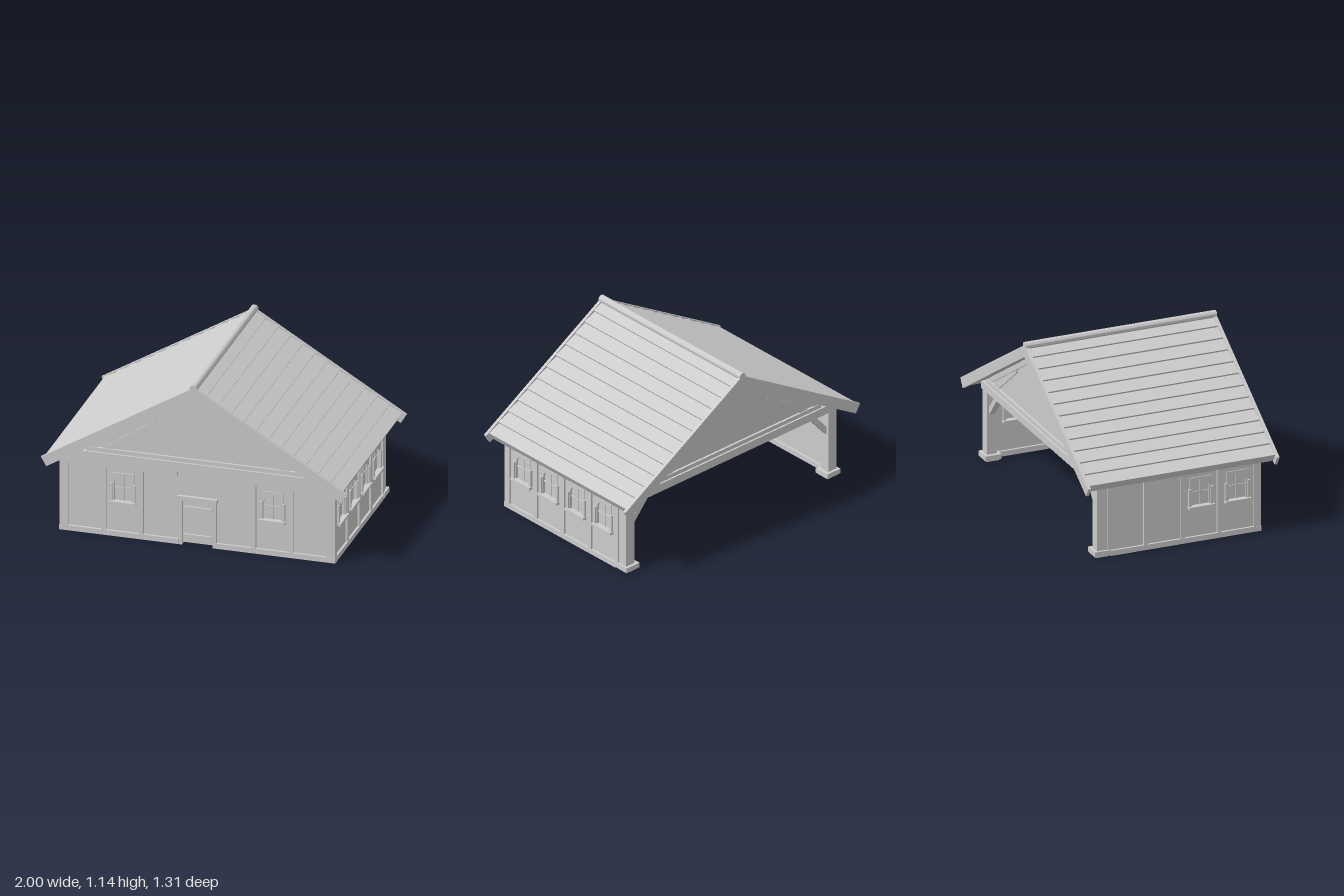
import * as THREE from 'three';

const grey = new THREE.MeshStandardMaterial({ color: 0xcccccc });
grey.name = 'plain grey';

function add(parent, name, geometry) {
  const mesh = new THREE.Mesh(geometry, grey);
  mesh.name = name;
  parent.add(mesh);
  return mesh;
}

// Box given by its lower and upper limits
function box(parent, name, x0, x1, y0, y1, z0, z1) {
  const m = add(parent, name, new THREE.BoxGeometry(Math.abs(x1 - x0), y1 - y0, z1 - z0));
  m.position.set((x0 + x1) / 2, (y0 + y1) / 2, (z0 + z1) / 2);
  return m;
}

const polygon = (pts) => new THREE.Shape(pts.map(([x, y]) => new THREE.Vector2(x, y)));

function slab(parent, name, shape, z0, z1) {
  const g = new THREE.ExtrudeGeometry(shape, { depth: z1 - z0, bevelEnabled: false, curveSegments: 12 });
  g.translate(0, 0, z0);
  return add(parent, name, g);
}

// Straight timber between two points in the xy plane
function timber(parent, name, [ax, ay], [bx, by], width, z0, z1) {
  const m = add(parent, name, new THREE.BoxGeometry(Math.hypot(bx - ax, by - ay), width, z1 - z0));
  m.position.set((ax + bx) / 2, (ay + by) / 2, (z0 + z1) / 2);
  m.rotation.z = Math.atan2(by - ay, bx - ax);
}

// Round-headed opening centred on u
function archHole(u) {
  const p = new THREE.Path();
  p.moveTo(u - 0.058, 0.242);
  p.lineTo(u + 0.058, 0.242);
  p.lineTo(u + 0.058, 0.357);
  p.absarc(u, 0.357, 0.058, 0, Math.PI, false);
  p.closePath();
  return p;
}

// Window with frame, bars, and trim on both wall faces; wall occupies z -0.02..0
function addWindow(parent, u) {
  const w = new THREE.Group();
  w.name = 'window';
  w.position.x = u;
  parent.add(w);
  const frame = polygon([[-0.073, 0.235], [0.073, 0.235], [0.073, 0.432], [-0.073, 0.432]]);
  frame.holes.push(archHole(0));
  slab(w, 'windowFrame', frame, -0.026, 0.006);
  box(w, 'windowPane', -0.06, 0.06, 0.24, 0.416, -0.012, -0.008);
  box(w, 'verticalBar', -0.005, 0.005, 0.242, 0.414, -0.018, -0.002);
  box(w, 'crossBar', -0.058, 0.058, 0.325, 0.335, -0.018, -0.002);
  for (const [z0, z1, s0, s1] of [[0, 0.016, 0, 0.03], [-0.036, -0.02, -0.05, -0.02]]) {
    for (const s of [-1, 1]) box(w, 'windowJamb', s * 0.066, s * 0.084, 0.24, 0.36, z0, z1);
    box(w, 'windowSill', -0.088, 0.088, 0.225, 0.242, s0, s1);
  }
}

function addFront(model) {
  const front = new THREE.Group();
  front.name = 'frontWall';
  front.position.z = 0.555;
  model.add(front);
  const shape = polygon([[-0.89, 0], [-0.1, 0], [-0.1, 0.31], [0.1, 0.31], [0.1, 0],
    [0.89, 0], [0.89, 0.51], [0, 1.045], [-0.89, 0.51]]);
  for (const s of [-1, 1]) shape.holes.push(archHole(s * 0.49));
  slab(front, 'frontPanel', shape, -0.02, 0);
  for (const s of [-1, 1]) {
    addWindow(front, s * 0.49);
    box(front, 'frontGroundBeam', s * 0.125, s * 0.905, 0, 0.035, -0.035, 0.017);
    box(front, 'frontHeadBeam', s * 0.13, s * 0.89, 0.47, 0.5, 0, 0.022);
    for (const [a, b] of [[0.845, 0.903], [0.6, 0.63], [0.355, 0.383]])
      box(front, 'frontPost', s * a, s * b, 0.035, 0.53, -0.005, 0.015);
    box(front, 'doorPost', s * 0.1, s * 0.124, 0, 0.305, -0.025, 0.017);
  }
  // Door of upright boards held by two rails
  box(front, 'doorLintel', -0.13, 0.13, 0.305, 0.333, -0.025, 0.024);
  for (let i = 0; i < 3; i++)
    box(front, 'doorBoard', -0.1 + i * 0.067, -0.034 + i * 0.067, 0.01, 0.305, -0.018, -0.006);
  box(front, 'doorBacking', -0.1, 0.1, 0.01, 0.305, -0.02, -0.012);
  for (const y of [0.06, 0.25]) box(front, 'doorRail', -0.095, 0.095, y - 0.01, y + 0.01, -0.006, 0.006);
}

// Side walls: four windows on the left, two towards the front on the right
function addSide(model, s) {
  const side = new THREE.Group();
  side.name = s > 0 ? 'leftWall' : 'rightWall';
  side.position.x = s * 0.89;
  side.rotation.y = s * Math.PI / 2;
  model.add(side);
  const u = (z) => -s * z;
  const windows = s > 0 ? [0.41, 0.16, -0.09, -0.34] : [0.41, 0.16];
  const shape = polygon([[u(0.55), 0], [u(-0.5), 0], [u(-0.5), 0.52], [u(0.55), 0.52]]);
  for (const z of windows) shape.holes.push(archHole(u(z)));
  slab(side, 'sidePanel', shape, -0.02, 0);
  for (const z of windows) addWindow(side, u(z));
  box(side, 'sideGroundBeam', u(0.57), u(-0.46), 0, 0.035, -0.035, 0.015);
  box(side, 'sideHeadBeam', u(0.56), u(-0.48), 0.47, 0.5, -0.01, 0.012);
  for (const [a, b] of [[0.57, 0.523], [0.3, 0.27], [0.05, 0.02], [-0.203, -0.232], [-0.453, -0.482]])
    box(side, 'sidePost', u(a), u(b), 0.035, 0.48, -0.005, 0.013);
  // Rear pillar on its footing, with a knee brace
  box(model, 'rearPillar', s * 0.825, s * 0.895, 0.04, 0.53, -0.55, -0.48);
  box(model, 'pillarFooting', s * 0.8, s * 0.91, 0.01, 0.043, -0.57, -0.46);
  box(model, 'footingBase', s * 0.81, s * 0.9, 0, 0.012, -0.56, -0.47);
  timber(model, 'kneeBrace', [s * 0.84, 0.32], [s * 0.67, 0.52], 0.035, -0.535, -0.495);
}

// Gable: panel, tie beams, rafters and diagonal braces
function addGable(model, dir) {
  const gable = new THREE.Group();
  gable.name = dir > 0 ? 'frontGable' : 'rearGable';
  gable.rotation.y = dir > 0 ? 0 : Math.PI;
  model.add(gable);
  slab(gable, 'gablePanel', polygon([[-0.85, 0.53], [0.85, 0.53], [0, 1.045]]), 0.555, 0.585);
  box(gable, 'lowerTieBeam', -0.84, 0.84, 0.5, 0.53, dir > 0 ? 0.54 : 0.48, 0.585);
  box(gable, 'middleTieBeam', -0.77, 0.77, 0.555, 0.578, 0.58, 0.612);
  box(gable, 'upperTieBeam', -0.72, 0.72, 0.578, 0.605, 0.58, 0.6);
  for (const s of [-1, 1]) {
    slab(gable, 'gableRafter', polygon([[0, 1.04], [0, 1.0], [s * 0.66, 0.604], [s * 0.72, 0.604]]), 0.58, 0.595);
    slab(gable, 'gableBrace', polygon([[s * 0.55, 0.6], [s * 0.27, 0.815], [s * 0.26, 0.845], [s * 0.62, 0.6]]), 0.58, 0.593);
    slab(gable, 'bargeBoard', polygon([[0, 1.12], [s, 0.52], [s * 0.964, 0.46], [0, 1.038]]), 0.635, 0.655);
  }
}

// Roof slope with twelve overlapping courses of boards
function addRoof(model, s) {
  const n = 12, run = 0.975, lip = 0.011;
  const pts = [[0, 1.05]];
  for (let i = 0; i < n; i++) {
    const a = run * i / n, b = run * (i + 1) / n;
    pts.push([s * (a - (i ? lip * 0.5 : 0)), 1.116 - 0.6 * a - lip], [s * b, 1.116 - 0.6 * b]);
  }
  pts.push([s * 0.945, 0.48]);
  slab(model, s > 0 ? 'leftRoof' : 'rightRoof', polygon(pts), -0.636, 0.636);
}

export function createModel() {
  const model = new THREE.Group();
  model.name = 'openBackedHouse';
  addFront(model);
  for (const s of [-1, 1]) {
    addSide(model, s);
    addGable(model, s);
    addRoof(model, s);
  }
  // Ridge pole
  const ridge = new THREE.CylinderGeometry(0.025, 0.025, 1.31, 10).toNonIndexed();
  ridge.rotateX(Math.PI / 2);
  ridge.computeVertexNormals();
  add(model, 'ridgePole', ridge).position.y = 1.115;
  return model;
}
